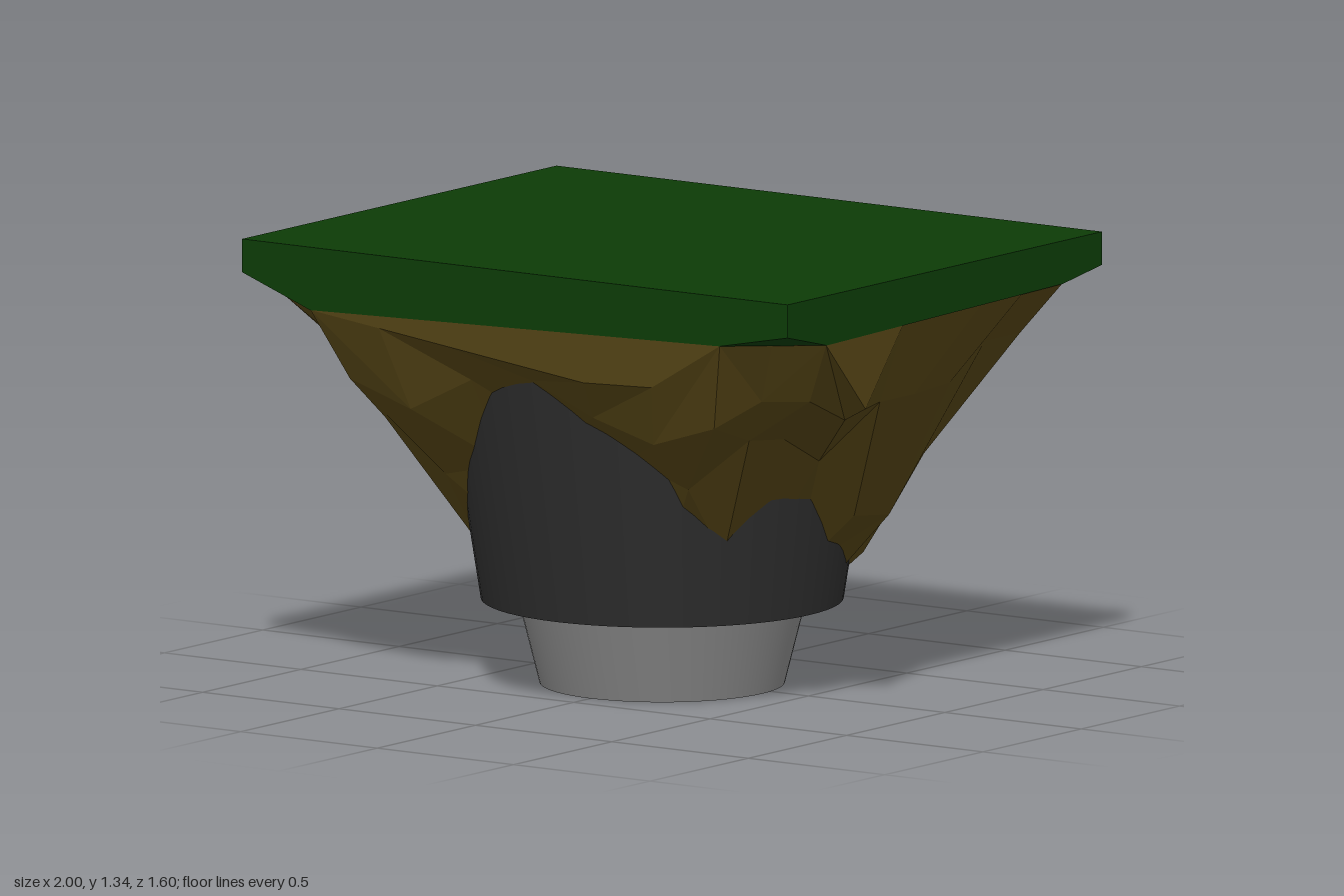
import * as THREE from 'three';
import { toCreasedNormals } from 'three/addons/utils/BufferGeometryUtils.js';

function mesh(name, geometry, color, options = {}) {
  const m = new THREE.Mesh(geometry, new THREE.MeshStandardMaterial({ color, ...options }));
  m.name = name;
  return m;
}

function fromFaces(points, faces) {
  const g = new THREE.BufferGeometry();
  g.setAttribute('position', new THREE.Float32BufferAttribute(points.flat(), 3));
  g.setIndex(faces.flat());
  const flat = g.toNonIndexed();
  flat.computeVertexNormals();
  return flat;
}

// Turned part, centred slightly towards the front
function turned(profile) {
  const g = new THREE.LatheGeometry(profile.map(([r, y]) => new THREE.Vector2(r, y)), 64);
  return toCreasedNormals(g, 0.6).translate(0, 0, 0.05);
}

// Heights of the rock's underside: rows run back to front, columns -x to +x.
// The border row and column lie on the slab's edge, cut across at the corners.
const heights = [
  [1.20, 1.22, 1.22, 1.10, 1.07, 1.02, 1.06, 1.10, 1.21, 1.21, 1.23],
  [1.16, 1.10, 1.00, 0.95, 1.01, 0.82, 0.85, 0.96, 1.02, 1.08, 1.21],
  [1.16, 1.04, 0.65, 0.50, 0.62, 0.43, 0.45, 0.62, 0.90, 1.06, 1.21],
  [1.08, 0.95, 0.36, 0.34, 0.40, 0.34, 0.36, 0.38, 0.70, 1.06, 1.21],
  [1.03, 0.90, 0.45, 0.23, 0.34, 0.36, 0.36, 0.31, 0.54, 0.96, 1.21],
  [1.02, 0.90, 0.58, 0.35, 0.35, 0.36, 0.36, 0.36, 0.56, 0.95, 1.21],
  [1.04, 0.92, 0.64, 0.38, 0.35, 0.36, 0.36, 0.42, 0.75, 0.95, 1.21],
  [1.08, 1.00, 0.66, 0.41, 0.40, 0.40, 0.40, 0.46, 0.84, 0.92, 0.97],
  [1.15, 1.04, 0.80, 0.65, 0.70, 0.80, 0.76, 0.69, 0.86, 1.00, 1.19],
  [1.15, 1.03, 0.94, 0.87, 0.98, 1.00, 0.91, 0.85, 0.92, 1.00, 1.19],
  [1.17, 1.15, 1.15, 1.12, 1.09, 1.06, 1.03, 1.04, 1.19, 1.19, 1.21],
];

// Grid position of a rock point, in steps of 0.25 along x and 0.2 along z
function rockStep(i, j) {
  const clamp = THREE.MathUtils.clamp;
  const u = i - 5, v = j - 5;
  const edgeX = Math.abs(u) === 5, edgeZ = Math.abs(v) === 5;
  if (edgeX && edgeZ) return [u * 0.7, v * 0.7];
  if (edgeX) return [u * 0.798, clamp(v, -3, 3)];
  if (edgeZ) return [clamp(u, -3, 3), v * 0.798];
  const s = Math.abs(u) === 4 && Math.abs(v) === 4 ? 0.775 : 0.89;
  return [u * s, v * s];
}

function rockGeometry() {
  const n = heights.length, points = [], faces = [];
  for (let j = 0; j < n; j++) {
    for (let i = 0; i < n; i++) {
      const [u, v] = rockStep(i, j);
      points.push([u * 0.25, heights[j][i], v * 0.2]);
    }
  }
  for (let j = 0; j < n - 1; j++) {
    for (let i = 0; i < n - 1; i++) {
      const a = j * n + i, b = a + 1, c = a + n, d = c + 1;
      // diagonals run outwards from the middle
      if ((i < 5) === (j < 5)) faces.push([a, b, d], [a, d, c]);
      else faces.push([a, b, c], [b, d, c]);
    }
  }
  // upright rim joining the border to the slab
  const border = [];
  for (let k = 0; k < n - 1; k++) border.push(k);
  for (let k = 0; k < n - 1; k++) border.push(k * n + n - 1);
  for (let k = n - 1; k > 0; k--) border.push((n - 1) * n + k);
  for (let k = n - 1; k > 0; k--) border.push(k * n);
  const first = points.length;
  border.forEach((p) => points.push([points[p][0], 1.3, points[p][2]]));
  border.forEach((p, k) => {
    const q = (k + 1) % border.length;
    faces.push([p, first + k, border[q]], [border[q], first + k, first + q]);
  });
  return fromFaces(points, faces);
}

// Slab whose underside is cut upwards at each corner
function slabGeometry() {
  const rim = [
    [-1, 0.8, 1.24], [-0.75, 0.8, 1.15], [0.75, 0.8, 1.19],
    [1, 0.8, 1.24], [1, 0.6, 1.19], [1, -0.6, 1.21],
    [1, -0.8, 1.24], [0.75, -0.8, 1.21], [-0.75, -0.8, 1.22],
    [-1, -0.8, 1.24], [-1, -0.6, 1.15], [-1, 0.6, 1.15],
  ];
  const n = rim.length, points = [], faces = [];
  rim.forEach(([x, z, y]) => points.push([x, y, z]));
  rim.forEach(([x, z]) => points.push([x, 1.34, z]));
  points.push([0, 1.34, 0], [0, 1.22, 0]);
  for (let i = 0; i < n; i++) {
    const j = (i + 1) % n;
    faces.push([i, j, n + j], [i, n + j, n + i], [2 * n, n + i, n + j]);
    if (i % 3 === 0) {
      const prev = (i + n - 1) % n;
      faces.push([i, prev, j], [2 * n + 1, j, prev]);
    } else if (i % 3 === 1) {
      faces.push([2 * n + 1, j, i]);
    }
  }
  return fromFaces(points, faces);
}

export function createModel() {
  const model = new THREE.Group();
  model.name = 'floatingRock';
  model.add(
    mesh('grassSlab', slabGeometry(), 0x0c3b06, { flatShading: true }),
    mesh('rock', rockGeometry(), 0x524214, { flatShading: true, side: THREE.DoubleSide }),
    mesh('engineHousing', turned([[0.42, 0.255], [0.54, 0.255], [0.665, 1.05]]), 0x2c2c2c, { side: THREE.DoubleSide }),
    mesh('nozzle', turned([[0.4, 0.45], [0.295, 0], [0.365, 0], [0.43, 0.256]]), 0x858585, { side: THREE.DoubleSide }),
  );
  return model;
}
